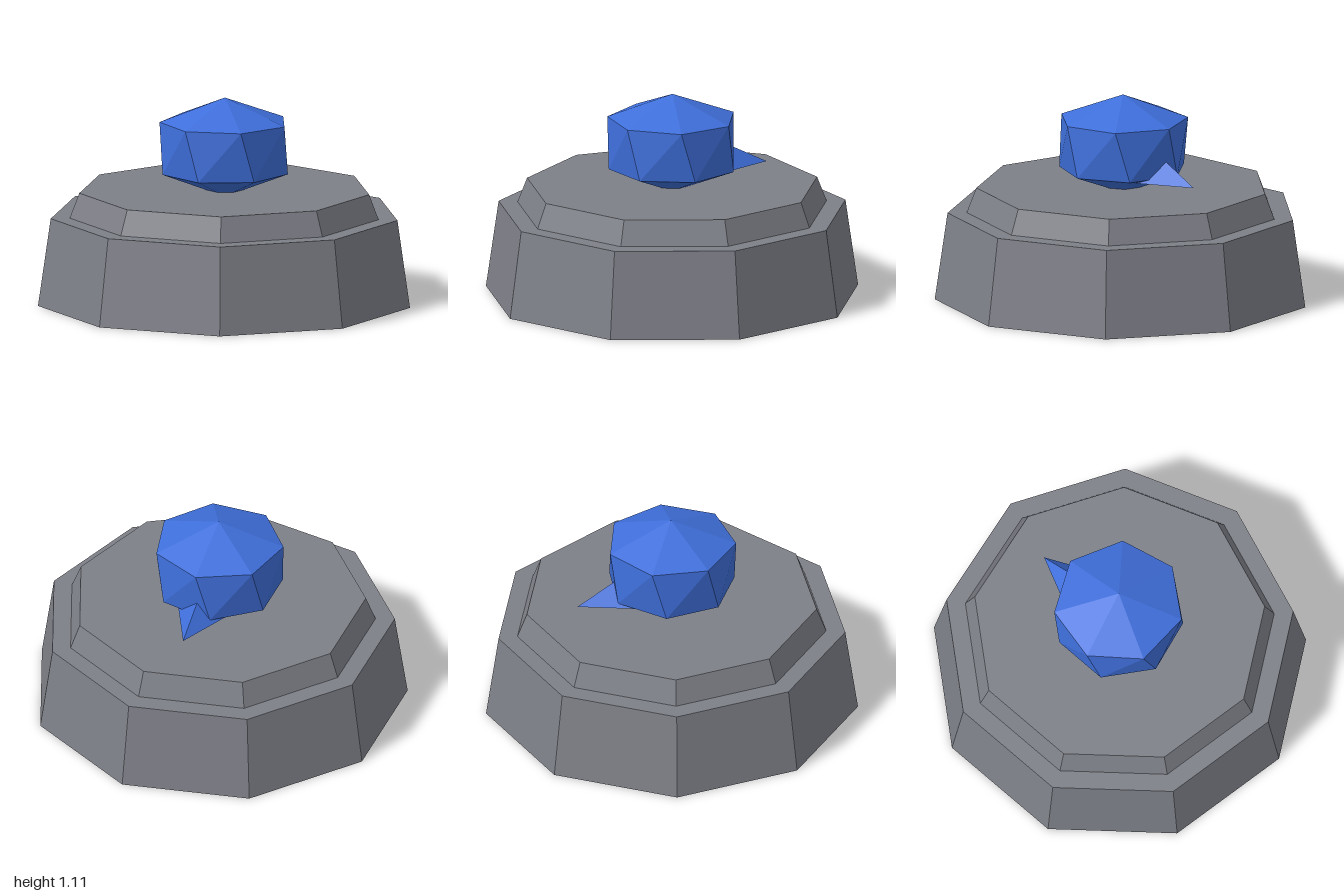
import * as THREE from 'three';

const CX = -0.03; // shared vertical axis of the tiers and the gem

// flat-faced mesh from a list of triangles
function facetMesh(name, triangles, material) {
  const geometry = new THREE.BufferGeometry().setFromPoints(triangles.flat());
  geometry.computeVertexNormals();
  const mesh = new THREE.Mesh(geometry, material);
  mesh.name = name;
  return mesh;
}

export function createModel() {
  const group = new THREE.Group();
  group.name = 'gemPedestal';
  const stone = new THREE.MeshStandardMaterial({ name: 'grey stone', color: 0x7e8088, flatShading: true });
  const blue = new THREE.MeshStandardMaterial({ name: 'blue gem', color: 0x3f6fdb, flatShading: true });

  // nine-sided tapered tiers, one corner pointing to +x
  const tier = (name, rTop, rBottom, y0, y1) => {
    const geometry = new THREE.CylinderGeometry(rTop, rBottom, y1 - y0, 9, 1, false, Math.PI / 2);
    const mesh = new THREE.Mesh(geometry, stone);
    mesh.name = name;
    mesh.position.set(CX, (y0 + y1) / 2, 0);
    group.add(mesh);
  };
  tier('lowerTier', 0.945, 1.014, 0, 0.475);
  tier('upperTier', 0.79, 0.842, 0.475, 0.61);

  // seven-sided gem: two twisted rings closed by shallow points
  const sides = 7, step = (Math.PI * 2) / sides;
  const ring = (r, y, twist) => Array.from({ length: sides }, (_, i) =>
    new THREE.Vector3(r * Math.cos(twist + i * step), y, r * Math.sin(twist + i * step)));
  const upper = ring(0.351, 0.977, step / 4);
  const lower = ring(0.345, 0.704, 0);
  const top = new THREE.Vector3(0, 1.11, 0);
  const bottom = new THREE.Vector3(0, 0.57, 0);
  const faces = [];
  for (let i = 0; i < sides; i++) {
    const j = (i + 1) % sides;
    faces.push(
      [top, upper[j], upper[i]],
      [upper[i], upper[j], lower[j]],
      [lower[i], upper[i], lower[j]],
      [lower[i], lower[j], bottom]);
  }
  const gem = facetMesh('gem', faces, blue);
  gem.position.x = CX;
  group.add(gem);

  // flat-bottomed spike at the back, rooted inside the gem
  const tip = new THREE.Vector3(0, 0.685, -0.54);
  const ridge = new THREE.Vector3(0, 0.86, -0.2);
  const left = new THREE.Vector3(0.162, 0.685, -0.2);
  const right = new THREE.Vector3(-0.162, 0.685, -0.2);
  const spike = facetMesh('backSpike', [
    [tip, ridge, left], [tip, right, ridge], [tip, left, right], [ridge, right, left],
  ], blue);
  spike.position.x = CX;
  group.add(spike);

  return group;
}
